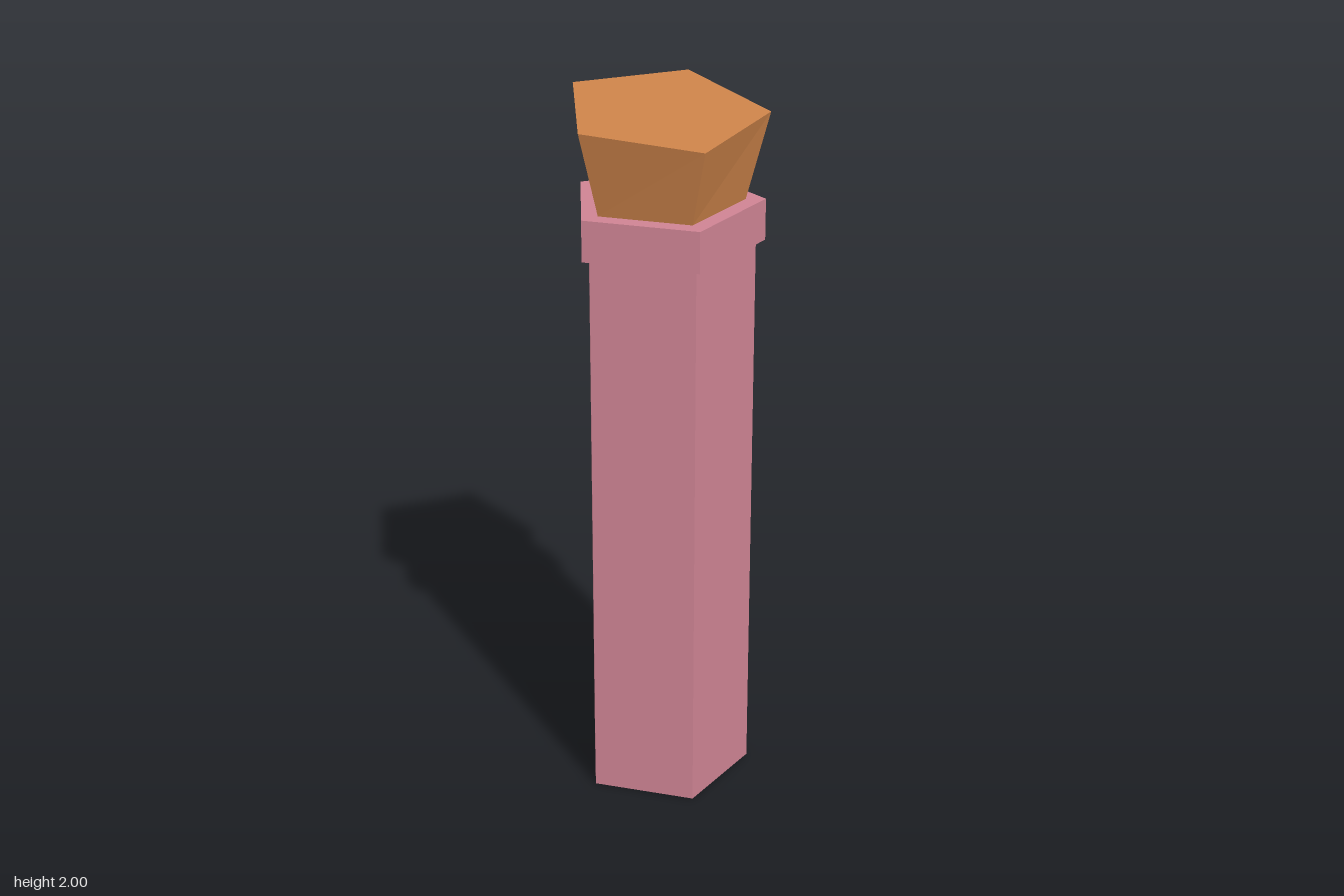
import * as THREE from 'three';

const CENTRE_X = 0.022;

// Five-sided prism with one corner pointing to -x
function pentagonPrism(rTop, rBottom, y0, y1) {
  const geo = new THREE.CylinderGeometry(rTop, rBottom, y1 - y0, 5, 1, false, -Math.PI / 2);
  return geo.translate(0, (y0 + y1) / 2, 0);
}

// Give every face its own flat normal
function faceted(geo) {
  const flat = geo.toNonIndexed();
  flat.computeVertexNormals();
  return flat;
}

export function createModel() {
  const glass = new THREE.MeshStandardMaterial({ color: 0xcf8494 });
  glass.name = 'pink glass';
  const cork = new THREE.MeshStandardMaterial({ color: 0xcb8249 });
  cork.name = 'cork brown';

  const group = new THREE.Group();
  group.name = 'corkedVial';
  const add = (name, geo, material) => {
    const mesh = new THREE.Mesh(faceted(geo), material);
    mesh.name = name;
    mesh.position.x = CENTRE_X;
    group.add(mesh);
  };

  // Tall body and the wider rim around its mouth
  add('body', pentagonPrism(0.247, 0.247, 0, 1.61), glass);
  add('rim', pentagonPrism(0.272, 0.272, 1.61, 1.725), glass);

  // Flared stopper: its top is twisted a little and tilted down to the front
  const stopper = pentagonPrism(0.284, 0.218, 1.725, 1.974);
  const pos = stopper.attributes.position;
  const v = new THREE.Vector3();
  const up = new THREE.Vector3(0, 1, 0);
  for (let i = 0; i < pos.count; i++) {
    v.fromBufferAttribute(pos, i);
    if (v.y < 1.8) continue;
    v.applyAxisAngle(up, 0.035);
    v.y = 1.972 + 0.034 * v.x - 0.124 * v.z;
    pos.setXYZ(i, v.x + 0.001, v.y, v.z - 0.004);
  }
  add('stopper', stopper, cork);

  return group;
}
